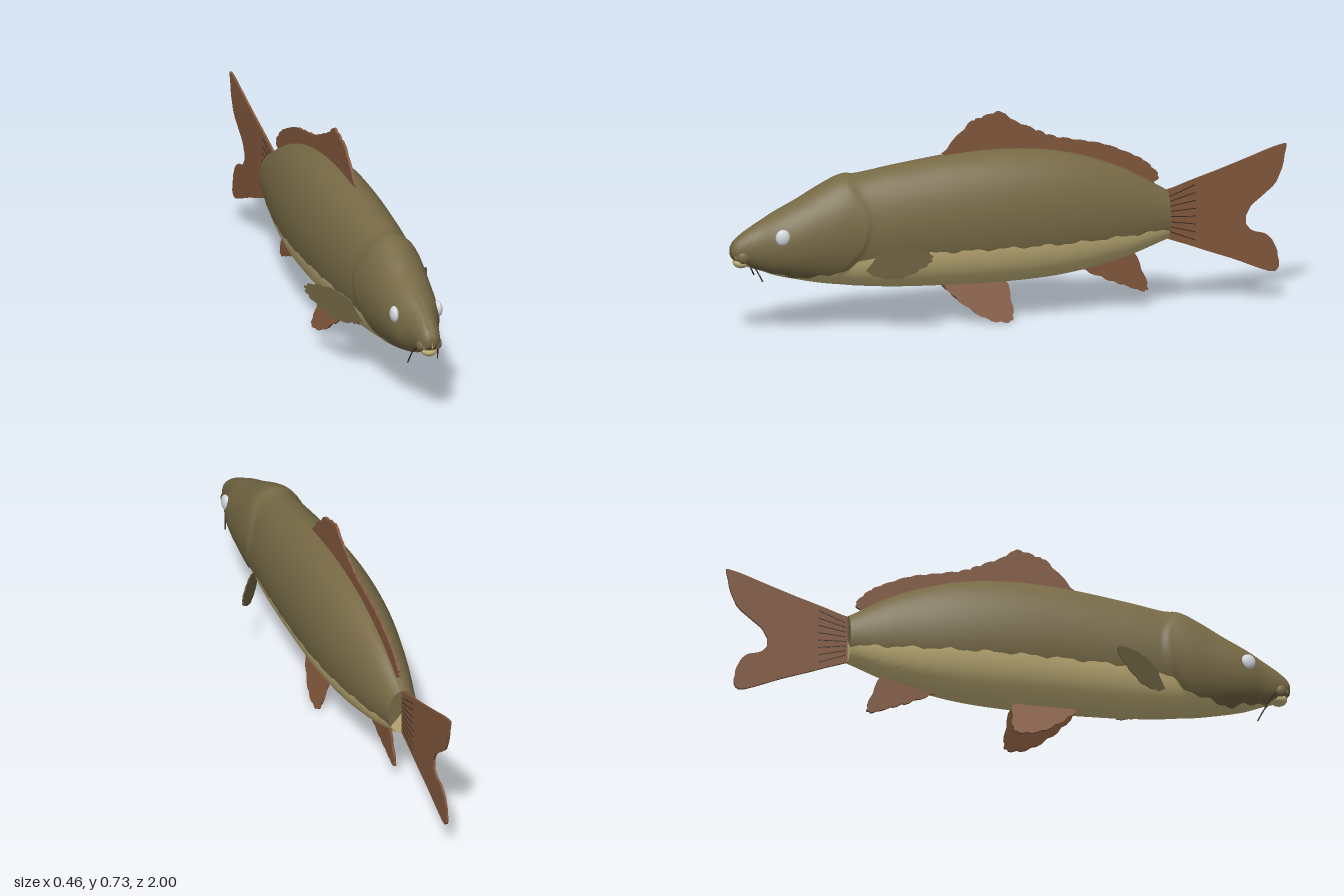
import * as THREE from 'three';
import { toCreasedNormals } from 'three/addons/utils/BufferGeometryUtils.js';

const mat = (name, color, side = THREE.FrontSide) => {
  const m = new THREE.MeshStandardMaterial({ color, side });
  m.name = name;
  return m;
};

// Stations along the body: z, top, bottom, half width, height of the pale belly edge
const STATIONS = [
  [1.0, 0.325, 0.285, 0.016, 0.27], [0.985, 0.345, 0.268, 0.032, 0.262],
  [0.95, 0.372, 0.25, 0.044, 0.255], [0.9, 0.402, 0.232, 0.058, 0.238],
  [0.84, 0.435, 0.21, 0.084, 0.217], [0.76, 0.474, 0.19, 0.1, 0.204],
  [0.68, 0.518, 0.173, 0.107, 0.212], [0.6, 0.553, 0.161, 0.111, 0.235],
  [0.54, 0.553, 0.153, 0.116, 0.268], [0.4, 0.574, 0.141, 0.128, 0.28],
  [0.2, 0.598, 0.134, 0.138, 0.28], [0.0, 0.604, 0.133, 0.14, 0.28],
  [-0.2, 0.58, 0.146, 0.127, 0.28], [-0.4, 0.513, 0.185, 0.094, 0.283],
  [-0.57, 0.417, 0.243, 0.054, 0.287],
];

// Lofted body, split along the wavy belly edge into two material groups
function bodyGeometry() {
  const curve = (a, b) => new THREE.CatmullRomCurve3(
    STATIONS.map(s => new THREE.Vector3(s[0], s[a], s[b])), false, 'catmullrom', 0.5);
  const outline = curve(1, 2), sides = curve(3, 4);
  const RINGS = 150, LOW = 24, UP = 44, N = LOW + UP;
  const pos = [];
  for (let i = -1; i <= RINGS + 1; i++) {
    const t = THREE.MathUtils.clamp(i / RINGS, 0, 1);
    const o = outline.getPoint(t), w = sides.getPoint(t);
    const closed = i < 0 || i > RINGS ? 0.001 : 1; // end caps
    const mid = (o.y + o.z) / 2, h = (o.y - o.z) / 2, z = o.x;
    const edge = w.z + 0.004 * Math.sin(z * 47) + 0.003 * Math.sin(z * 101);
    const split = Math.acos(THREE.MathUtils.clamp((mid - edge) / h, -0.9, 0.985));
    for (let j = 0; j < N; j++) {
      const a = j < LOW ? -split + 2 * split * j / LOW
        : split + (2 * Math.PI - 2 * split) * (j - LOW) / UP;
      const y = mid - h * Math.cos(a) * closed;
      // Raised gill cover with a curved rear edge
      const gill = 0.53 + 3 * (y - 0.39) ** 2;
      const bulge = THREE.MathUtils.smoothstep(z, gill - 0.008, gill + 0.012)
        * (1 - THREE.MathUtils.smoothstep(z, 0.6, 0.74));
      pos.push(w.y * Math.sin(a) * closed * (1 + 0.06 * bulge), y, z);
    }
  }
  const upper = [], lower = [];
  for (let i = 0; i < RINGS + 2; i++) for (let j = 0; j < N; j++) {
    const k = (j + 1) % N, p = i * N, q = p + N;
    (j < LOW ? lower : upper).push(p + j, q + j, q + k, p + j, q + k, p + k);
  }
  const g = new THREE.BufferGeometry();
  g.setAttribute('position', new THREE.Float32BufferAttribute(pos, 3));
  g.setIndex([...upper, ...lower]);
  g.addGroup(0, upper.length, 0);
  g.addGroup(upper.length, lower.length, 1);
  return toCreasedNormals(g, 0.9);
}

// Thin fin from (z, y) points: edge is the free rim, base lies inside the body
function finGeometry(edge, base, { teeth = 0.006, thick = 0.007, lean = () => 0 } = {}) {
  const rim = new THREE.SplineCurve(edge.map(p => new THREE.Vector2(...p)));
  const root = base.reduce((s, p) => s.add(new THREE.Vector2(...p)), new THREE.Vector2())
    .divideScalar(base.length);
  const n = (edge.length - 1) * 5;
  const pts = [];
  for (let i = 0; i <= n; i++) {
    const p = rim.getPoint(i / n);
    if (i % 3 === 1) p.add(root.clone().sub(p).setLength(teeth));
    pts.push(p);
  }
  base.forEach(p => pts.push(new THREE.Vector2(...p)));
  const g = new THREE.ExtrudeGeometry(new THREE.Shape(pts), { depth: thick, bevelEnabled: false });
  g.translate(0, 0, -thick / 2).rotateY(-Math.PI / 2);
  const a = g.attributes.position;
  for (let i = 0; i < a.count; i++) a.setX(i, a.getX(i) + lean(a.getY(i), a.getZ(i)));
  g.computeVertexNormals();
  return g;
}

export function createModel() {
  const fish = new THREE.Group();
  fish.name = 'fish';
  const olive = mat('olive skin', 0x766945);
  const cream = mat('cream belly', 0xcdbb80);
  const brown = mat('brown fin', 0x80563b, THREE.DoubleSide);
  const oliveFin = mat('olive fin', 0x6c6040, THREE.DoubleSide);
  const dark = mat('dark brown', 0x35261b);
  const white = mat('eye white', 0xd3d8de);
  const add = (name, geo, material) => {
    const m = new THREE.Mesh(geo, material);
    m.name = name;
    fish.add(m);
    return m;
  };
  const ball = (name, material, p, s) => {
    const m = add(name, new THREE.SphereGeometry(1, 24, 16), material);
    m.position.set(...p);
    m.scale.set(...s);
  };

  add('body', bodyGeometry(), [olive, cream]);

  // Fins on the centre line
  add('tailFin', finGeometry(
    [[-0.565, 0.415], [-0.8, 0.49], [-0.98, 0.55], [-0.998, 0.53], [-0.965, 0.42], [-0.875, 0.34],
      [-0.855, 0.285], [-0.88, 0.25], [-0.935, 0.23], [-0.968, 0.17], [-0.957, 0.1], [-0.8, 0.158], [-0.565, 0.245]],
    [[-0.55, 0.3], [-0.55, 0.36]], { teeth: 0.002, thick: 0.008 }), brown);
  add('dorsalFin', finGeometry(
    [[0.24, 0.6], [0.145, 0.7], [0.1, 0.72], [0.03, 0.737], [-0.015, 0.705], [-0.1, 0.665], [-0.165, 0.637],
      [-0.26, 0.615], [-0.35, 0.594], [-0.445, 0.553], [-0.5, 0.52], [-0.542, 0.47], [-0.52, 0.44]],
    [[-0.4, 0.49], [-0.2, 0.55], [0, 0.575], [0.2, 0.575]], { thick: 0.009 }), brown);
  add('analFin', finGeometry(
    [[-0.26, 0.155], [-0.35, 0.112], [-0.42, 0.085], [-0.49, 0.06], [-0.5, 0.09], [-0.455, 0.205]],
    [[-0.4, 0.22], [-0.28, 0.18]], { thick: 0.009 }), brown);

  // Dark rays at the root of the tail
  for (let i = 0; i < 8; i++) for (const s of [1, -1]) {
    const v = i / 7 - 0.5;
    const ray = add('tailRay', new THREE.BoxGeometry(0.001, 0.003, 0.1), dark);
    ray.position.set(s * 0.0045, 0.33 + v * 0.16, -0.625);
    ray.rotation.x = v * 0.75;
  }

  for (const s of [1, -1]) {
    const side = s > 0 ? 'left' : 'right';
    // Paired fins
    add(side + 'PelvicFin', finGeometry(
      [[0.25, 0.145], [0.19, 0.08], [0.1, 0.018], [0.02, 0.003], [0.0, 0.035], [0.01, 0.14]],
      [[0.05, 0.17], [0.22, 0.17]],
      { thick: 0.008, lean: y => s * (0.025 + (0.135 - y) * 0.4) }), brown);
    add(side + 'PectoralFin', finGeometry(
      [[0.525, 0.265], [0.465, 0.305], [0.4, 0.316], [0.345, 0.306], [0.337, 0.28], [0.37, 0.245],
        [0.44, 0.202], [0.51, 0.203]],
      [[0.54, 0.225], [0.54, 0.25]],
      { teeth: 0.008, thick: 0.005, lean: (y, z) => s * (0.113 + (0.5 - z) * 0.68) }), oliveFin);

    // Face
    ball(side + 'Eye', white, [s * 0.08, 0.36, 0.835], [0.015, 0.029, 0.026]);
    ball(side + 'Nostril', dark, [s * 0.024, 0.318, 0.981], [0.007, 0.006, 0.007]);
    ball(side + 'MouthCorner', olive, [s * 0.032, 0.287, 0.962], [0.013, 0.022, 0.022]);
    const barbel = new THREE.CatmullRomCurve3([
      new THREE.Vector3(s * 0.036, 0.272, 0.945), new THREE.Vector3(s * 0.046, 0.25, 0.925),
      new THREE.Vector3(s * 0.055, 0.202, 0.9)]);
    add(side + 'Barbel', new THREE.TubeGeometry(barbel, 10, 0.0025, 6), dark);
  }

  // Mouth: olive upper lip over a cream lower lip
  const lip = add('upperLip', new THREE.TorusGeometry(0.024, 0.008, 10, 24, Math.PI), olive);
  lip.position.set(0, 0.28, 0.985);
  ball('mouthOpening', dark, [0, 0.285, 0.987], [0.02, 0.006, 0.012]);
  ball('lowerLip', cream, [0, 0.265, 0.962], [0.028, 0.022, 0.03]);
  return fish;
}
